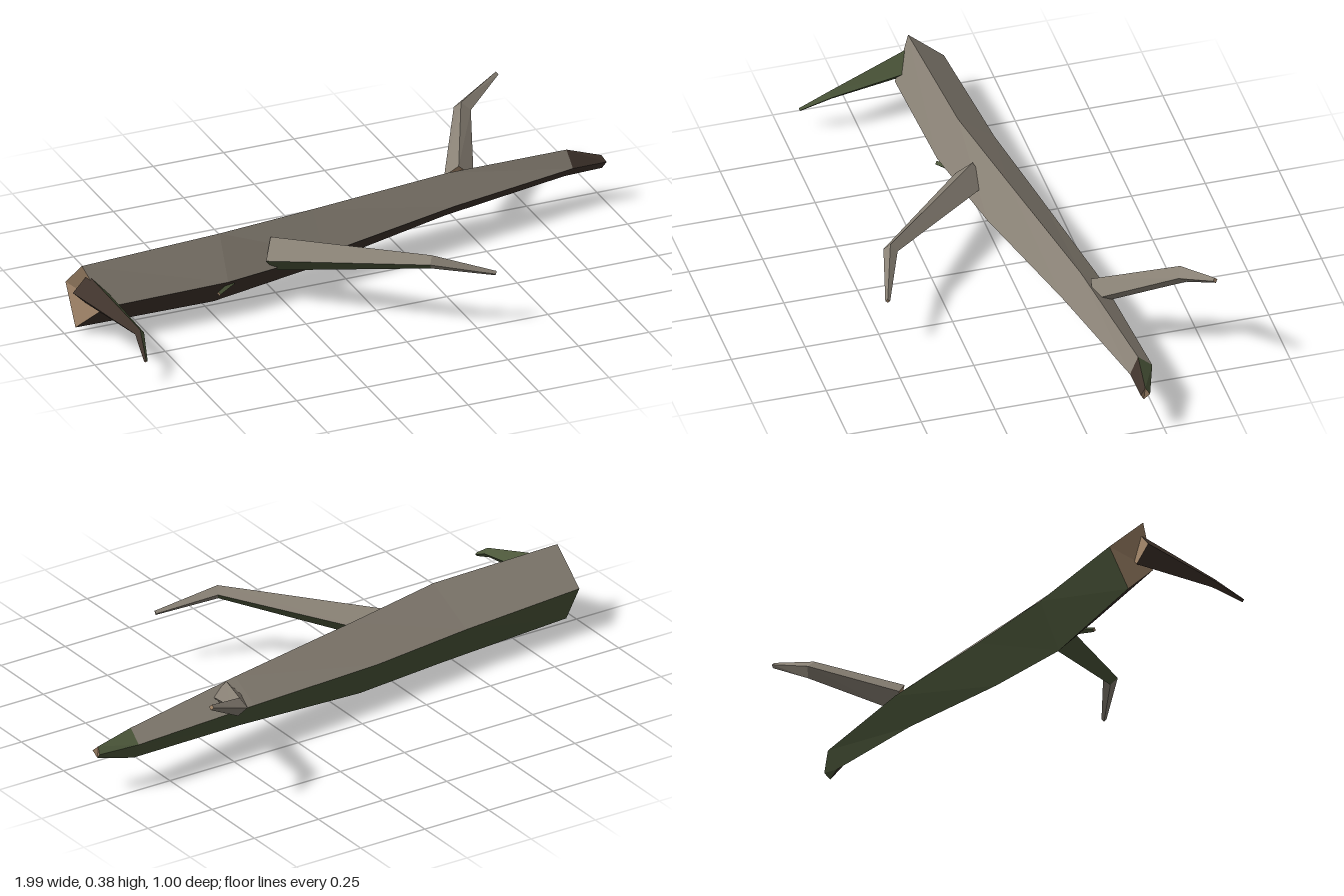
import * as THREE from 'three';

const mat = (name, color) => {
  const m = new THREE.MeshStandardMaterial({ color, flatShading: true });
  m.name = name;
  return m;
};

// Lofts four-sided rings (top, right, bottom, left). pick(segment, side) returns a
// material index; both ends are capped with the cut wood colour.
function loft(name, rings, materials, pick) {
  const pos = [];
  const geo = new THREE.BufferGeometry();
  const quad = (a, b, c, d, m) => {
    geo.addGroup(pos.length / 3, 6, m);
    for (const p of [a, b, c, a, c, d]) pos.push(...p);
  };
  for (let i = 0; i < rings.length - 1; i++) {
    for (let j = 0; j < 4; j++) {
      const k = (j + 1) % 4;
      quad(rings[i][j], rings[i][k], rings[i + 1][k], rings[i + 1][j], pick(i, j));
    }
  }
  const s = rings[0], e = rings[rings.length - 1];
  quad(s[3], s[2], s[1], s[0], 3);
  quad(e[0], e[1], e[2], e[3], 3);
  geo.setAttribute('position', new THREE.Float32BufferAttribute(pos, 3));
  geo.computeVertexNormals();
  const mesh = new THREE.Mesh(geo, materials);
  mesh.name = name;
  return mesh;
}

// Diamond rings perpendicular to a path of [x, y, z, radius] points
function diamondRings(path) {
  const pts = path.map(p => new THREE.Vector3(p[0], p[1], p[2]));
  const up = new THREE.Vector3(0, 1, 0);
  return path.map((p, i) => {
    const dir = new THREE.Vector3();
    if (i > 0) dir.add(pts[i].clone().sub(pts[i - 1]).normalize());
    if (i < pts.length - 1) dir.add(pts[i + 1].clone().sub(pts[i]).normalize());
    dir.normalize();
    const r = dir.clone().cross(up).normalize();
    const u = r.clone().cross(dir);
    return [u, r, u.clone().negate(), r.clone().negate()]
      .map(v => pts[i].clone().addScaledVector(v, p[3]).toArray());
  });
}

export function createModel() {
  const group = new THREE.Group();
  const BARK = 0, MOSS = 1, DARK = 2;
  const materials = [
    mat('bark', 0x8a8276),
    mat('moss', 0x4c573a),
    mat('darkBark', 0x40342c),
    mat('cutWood', 0xa08468),
  ];

  // Trunk: diamond sections from the thick cut end to the narrow tip
  const trunk = [
    [[-0.96, 0.262, 0.053], [-0.9, 0.128, 0.115], [-0.96, 0.014, 0], [-0.965, 0.15, -0.07]],
    [[-0.46, 0.269, 0.027], [-0.46, 0.124, 0.098], [-0.46, 0, -0.022], [-0.5, 0.145, -0.107]],
    [[-0.1, 0.255, -0.04], [-0.09, 0.125, 0.035], [-0.1, 0.015, -0.085], [-0.12, 0.145, -0.16]],
    [[0.42, 0.24, -0.135], [0.42, 0.146, -0.075], [0.42, 0.073, -0.16], [0.4, 0.165, -0.22]],
    [[0.87, 0.205, -0.2], [0.88, 0.148, -0.17], [0.87, 0.102, -0.215], [0.87, 0.163, -0.248]],
    [[0.99, 0.166, -0.19], [1, 0.147, -0.172], [0.99, 0.122, -0.185], [0.995, 0.143, -0.205]],
  ];
  group.add(loft('trunk', trunk, materials, (seg, side) => {
    if (seg === 4) return side === 0 || side === 1 ? DARK : MOSS;
    return [BARK, DARK, MOSS, BARK][side];
  }));

  // Long front branch, mossy below as far as the elbow
  group.add(loft('frontBranch', diamondRings([
    [-0.275, 0.163, 0.035, 0.06], [0.12, 0.232, 0.423, 0.024], [0.32, 0.182, 0.49, 0.008],
  ]), materials, (seg, side) => (seg === 0 && (side === 1 || side === 2) ? MOSS : BARK)));

  // Raised back branch
  group.add(loft('backBranch', diamondRings([
    [0.475, 0.2, -0.17, 0.048], [0.6, 0.303, -0.43, 0.03], [0.75, 0.37, -0.496, 0.009],
  ]), materials, () => BARK));

  // Drooping branch beside the cut end
  group.add(loft('endBranch', diamondRings([
    [-0.94, 0.172, 0.045, 0.055], [-0.88, 0.133, 0.34, 0.016], [-0.9, 0.08, 0.438, 0.006],
  ]), materials, (seg, side) => (side < 2 ? DARK : MOSS)));

  // Small twig stub on the lower front
  group.add(loft('twig', diamondRings([
    [-0.43, 0.1, 0.06, 0.012], [-0.49, 0.084, 0.09, 0.008],
  ]), materials, () => MOSS));

  return group;
}
